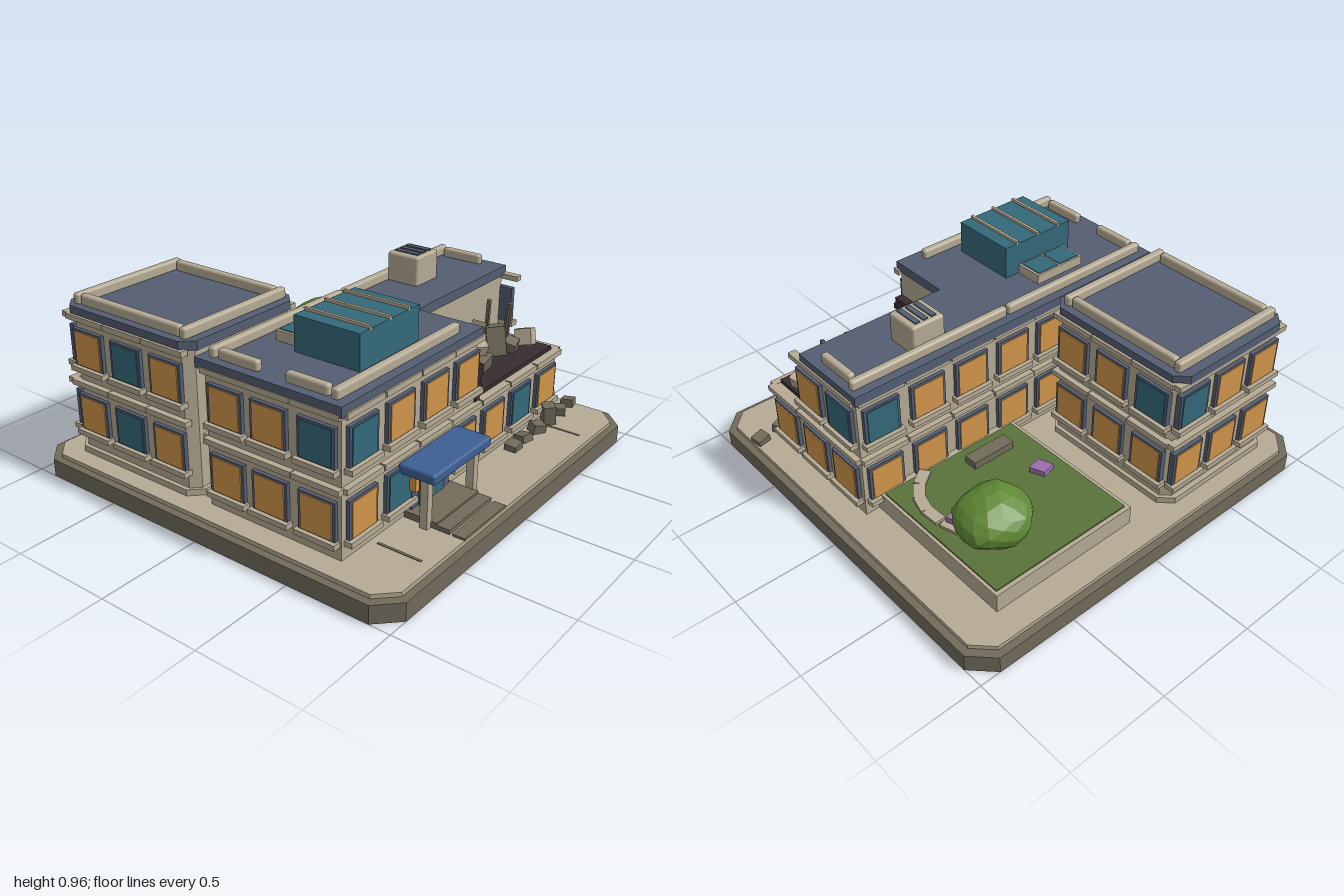
import * as THREE from 'three';
import { RoundedBoxGeometry } from 'three/addons/geometries/RoundedBoxGeometry.js';

const material = (name, color) => {
  const m = new THREE.MeshStandardMaterial({ color });
  m.name = name;
  return m;
};

export function createModel() {
  const model = new THREE.Group();
  model.name = 'damagedBuilding';
  const wall = material('wallStone', 0xb5aa94), stone = material('darkStone', 0x716b5b);
  const slate = material('slate', 0x535e71), amber = material('amberGlass', 0xd0954a);
  const teal = material('tealGlass', 0x34697a), blue = material('canopyBlue', 0x3d5f95);
  const dark = material('charredDark', 0x372c2e), grass = material('grass', 0x5a713a);
  const leaf = material('foliage', 0x618a37), purple = material('flowerPurple', 0x9c6fae);

  const add = (name, geometry, mat, parent = model) => {
    const mesh = new THREE.Mesh(geometry, mat);
    mesh.name = name;
    parent.add(mesh);
    return mesh;
  };
  // Box given by its limits on each axis
  const box = (name, mat, x0, x1, y0, y1, z0, z1, parent = model) => {
    const mesh = add(name, new THREE.BoxGeometry(x1 - x0, y1 - y0, z1 - z0), mat, parent);
    mesh.position.set((x0 + x1) / 2, (y0 + y1) / 2, (z0 + z1) / 2);
    return mesh;
  };
  const softBox = (name, mat, x0, x1, y0, y1, z0, z1) => {
    const mesh = add(name, new RoundedBoxGeometry(x1 - x0, y1 - y0, z1 - z0, 2, 0.012), mat);
    mesh.position.set((x0 + x1) / 2, (y0 + y1) / 2, (z0 + z1) / 2);
    return mesh;
  };
  // Flat slab extruded upward from an outline of [x, z] points
  const slab = (name, mat, points, y0, y1) => {
    const shape = new THREE.Shape(points.map(([x, z]) => new THREE.Vector2(x, z)));
    const g = new THREE.ExtrudeGeometry(shape, { depth: y1 - y0, bevelEnabled: false });
    g.rotateX(Math.PI / 2).translate(0, y1, 0);
    return add(name, g, mat);
  };
  const cutRect = (x0, x1, z0, z1, c) => [
    [x0 + c, z0], [x1 - c, z0], [x1, z0 + c], [x1, z1 - c],
    [x1 - c, z1], [x0 + c, z1], [x0, z1 - c], [x0, z0 + c]];

  // Ground
  slab('base', stone, cutRect(-1, 1, -1, 1, 0.1), 0, 0.085);
  slab('pavement', wall, cutRect(-0.965, 0.965, -0.965, 0.965, 0.085), 0.085, 0.105);
  for (const x of [-0.67, 0.66]) box('pavementCrack', stone, x - 0.006, x + 0.006, 0.1, 0.108, 0.7, 0.91);

  // Main block, with the front corner of the upper floor missing
  const ell = (x0, x1, z0, z1, nx, nz) => [[x0, z0], [x1, z0], [x1, nz], [nx, nz], [nx, z1], [x0, z1]];
  box('lowerWalls', wall, -0.86, 0.84, 0.105, 0.43, -0.03, 0.665);
  slab('upperWalls', wall, ell(-0.86, 0.84, -0.03, 0.665, 0.085, 0.34), 0.43, 0.74);
  slab('mainRoof', slate, ell(-0.885, 0.86, -0.06, 0.685, 0.095, 0.35), 0.738, 0.785);

  // Rear wing
  slab('wingPlinth', wall, cutRect(-0.88, -0.18, -0.88, -0.1, 0.06), 0.105, 0.135);
  slab('wingWalls', wall, cutRect(-0.86, -0.2, -0.855, -0.12, 0.04), 0.135, 0.78);
  slab('wingRoof', slate, cutRect(-0.875, -0.185, -0.885, -0.105, 0.055), 0.778, 0.82);

  // Window row on one facade: letters a = amber, t = teal, - = none
  function facade(name, px, pz, turn, centres, row, y) {
    const group = new THREE.Group();
    group.name = name;
    group.position.set(px, y, pz);
    group.rotation.y = turn;
    model.add(group);
    centres.forEach((u, i) => {
      box('band', wall, u - 0.118, u + 0.118, 0.13, 0.156, -0.01, 0.028, group);
      if (row[i] === '-') return;
      box('windowFrame', slate, u - 0.092, u + 0.092, -0.088, 0.09, -0.01, 0.018, group);
      box('windowPane', row[i] === 'a' ? amber : teal, u - 0.078, u + 0.078, -0.08, 0.08, 0.017, 0.023, group);
      box('sill', wall, u - 0.103, u + 0.103, -0.11, -0.085, -0.01, 0.038, group);
    });
  }
  const H = Math.PI / 2, low = 0.275, high = 0.593;
  const bays = [-0.74, -0.495, -0.25, -0.01, 0.235, 0.48, 0.725];
  const backBays = bays.map(x => -x);
  facade('frontLower', 0, 0.665, 0, bays, 'at-aata', low);
  facade('frontUpper', 0, 0.665, 0, bays.slice(0, 4), 'taaa', high);
  facade('leftLower', 0.84, 0, H, [-0.555, -0.315, -0.085], 'aaa', low);
  facade('leftUpper', 0.84, 0, H, [-0.23, -0.085].map((u, i) => i ? u : -0.315), 'at', high);
  facade('rightLower', -0.86, 0, -H, [0.085, 0.315, 0.555], 'aaa', low);
  facade('rightUpper', -0.86, 0, -H, [0.085, 0.315, 0.555], 'aat', high);
  facade('backLower', 0, -0.03, Math.PI, backBays, '--aaaaa', low);
  facade('backUpper', 0, -0.03, Math.PI, backBays, '--aaaat', high);
  const wingZ = [0.25, 0.49, 0.73], wingX = [0.3, 0.53, 0.76];
  for (const [y, rows] of [[0.31, ['aaa', 'aaa', 'ata']], [0.628, ['aat', 'taa', 'ata']]]) {
    facade('wingLeft', -0.2, 0, H, wingZ, rows[0], y);
    facade('wingBack', 0, -0.855, Math.PI, wingX, rows[1], y);
    facade('wingRight', -0.86, 0, -H, wingZ.map(z => -z), rows[2], y);
  }

  // Parapets
  for (const [x0, x1, z0, z1] of [
    [-0.85, -0.01, -0.018, 0.018], [0, 0.84, -0.018, 0.018], [-0.85, -0.02, 0.605, 0.642],
    [-0.845, -0.808, 0.03, 0.24], [-0.845, -0.808, 0.38, 0.59], [0.785, 0.822, 0.03, 0.24]])
    softBox('mainParapet', wall, x0, x1, 0.78, 0.83, z0, z1);
  for (const [x0, x1, z0, z1] of [
    [-0.845, -0.215, -0.84, -0.803], [-0.845, -0.215, -0.185, -0.148],
    [-0.838, -0.8, -0.8, -0.19], [-0.262, -0.224, -0.8, -0.19]])
    softBox('wingParapet', wall, x0, x1, 0.815, 0.868, z0, z1);

  // Rooftop glasshouse, low skylight and vent
  box('glasshouse', teal, -0.6, -0.2, 0.78, 0.945, 0.222, 0.552);
  for (const x of [-0.53, -0.4, -0.27]) box('glazingBar', wall, x - 0.007, x + 0.007, 0.94, 0.958, 0.222, 0.552);
  box('skylightFrame', wall, -0.555, -0.278, 0.78, 0.832, 0.085, 0.218);
  for (const x of [-0.482, -0.351]) box('skylightPane', teal, x - 0.06, x + 0.06, 0.828, 0.836, 0.094, 0.21);
  softBox('ventHousing', wall, 0.33, 0.502, 0.78, 0.925, 0.012, 0.182);
  for (const x of [0.373, 0.416, 0.459]) box('ventSlot', slate, x - 0.013, x + 0.013, 0.922, 0.931, 0.033, 0.162);

  // Entrance
  softBox('canopy', blue, -0.5, -0.065, 0.335, 0.382, 0.67, 0.848);
  box('doorFrame', slate, -0.42, -0.14, 0.11, 0.335, 0.66, 0.69);
  box('door', teal, -0.373, -0.188, 0.125, 0.322, 0.688, 0.697);
  for (const s of [-1, 1]) {
    const x = -0.281 + s * 0.175;
    box('canopyPost', wall, x - 0.018, x + 0.018, 0.1, 0.337, 0.765, 0.802);
    box('lantern', amber, -0.281 + s * 0.145 - 0.014, -0.281 + s * 0.145 + 0.014, 0.235, 0.3, 0.69, 0.72);
  }
  [[0.67, 0.83, 0.135], [0.83, 0.893, 0.126], [0.907, 0.965, 0.115]].forEach(([z0, z1, y]) =>
    box('entranceStep', stone, -0.445, -0.12, 0.1, y, z0, z1));

  // Exposed floor and broken wall edge
  box('charredFloor', dark, 0.13, 0.81, 0.425, 0.45, 0.355, 0.652);
  for (let i = 0; i < 6; i++)
    box('brokenWallEdge', dark, 0.08, 0.115 + 0.022 * ((i * 2) % 3) / 2, 0.43 + i * 0.028, 0.458 + i * 0.028, 0.6 - 0.015 * (i % 2), 0.672);
  for (let i = 0; i < 5; i++)
    box('brokenWallSide', dark, 0.08, 0.108 + 0.014 * (i % 2), 0.43, 0.56 - 0.02 * (i % 3), 0.37 + i * 0.05, 0.41 + i * 0.05);

  // Debris: x, y, z, width, height, depth, lean, spin
  const debris = (name, mat, [x, y, z, w, h, d, lean, spin]) => {
    const m = add(name, new THREE.BoxGeometry(w, h, d), mat);
    m.position.set(x, y, z);
    m.rotation.set(lean * 0.8, spin, lean);
  };
  for (const d of [
    [0.19, 0.52, 0.44, 0.07, 0.16, 0.06, -0.12, 0.4], [0.25, 0.53, 0.48, 0.11, 0.17, 0.1, -0.1, 0.6],
    [0.37, 0.48, 0.53, 0.09, 0.07, 0.06, 0.2, 0.1], [0.52, 0.52, 0.4, 0.08, 0.15, 0.07, 0.2, 0.3],
    [0.58, 0.51, 0.47, 0.1, 0.14, 0.09, -0.15, 0.7], [0.63, 0.48, 0.53, 0.06, 0.07, 0.06, 0.3, 0.2]])
    debris('darkRubble', stone, d);
  for (const d of [
    [0.34, 0.54, 0.42, 0.08, 0.16, 0.07, -0.15, 0.5], [0.38, 0.52, 0.48, 0.09, 0.13, 0.08, 0.2, 0.9],
    [0.28, 0.49, 0.4, 0.09, 0.09, 0.05, 0.3, 0.3], [0.44, 0.51, 0.4, 0.05, 0.12, 0.05, 0.25, 0.4],
    [0.75, 0.49, 0.54, 0.1, 0.08, 0.08, -0.25, 0.3], [0.2, 0.48, 0.54, 0.05, 0.06, 0.05, 0.2, 0.6]])
    debris('paleRubble', wall, d);
  for (const d of [
    [0.585, 0.58, 0.42, 0.016, 0.27, 0.016, 0.17, 0], [0.68, 0.565, 0.48, 0.016, 0.24, 0.016, 0.22, 0],
    [0.715, 0.55, 0.45, 0.014, 0.2, 0.014, 0.3, 0]])
    debris('bentBeam', stone, d);
  [[0.35, 0.73, 0.04], [0.46, 0.72, 0.035], [0.575, 0.73, 0.05], [0.692, 0.725, 0.1], [0.81, 0.72, 0.045], [0.93, 0.71, 0.04]]
    .forEach(([x, z, h], i) => debris('fallenStone', stone, [x, 0.1 + h / 2, z, 0.066, h, 0.06, (i % 2 ? -0.12 : 0.12), i * 1.3]));

  // Raised garden
  box('gardenCurb', wall, 0, 0.77, 0.1, 0.197, -0.83, -0.03);
  box('lawn', grass, 0.02, 0.755, 0.195, 0.204, -0.81, -0.065);
  box('bench', stone, 0.13, 0.358, 0.2, 0.24, -0.205, -0.135);
  const path = new THREE.QuadraticBezierCurve3(
    new THREE.Vector3(0.655, 0.207, -0.45), new THREE.Vector3(0.75, 0.207, -0.2), new THREE.Vector3(0.55, 0.207, -0.08));
  for (let i = 0; i < 5; i++) {
    const t = (i + 0.3) / 4.6, p = path.getPoint(t), d = path.getTangent(t);
    const m = add('pathStone', new THREE.BoxGeometry(0.055, 0.02, 0.09), wall);
    m.position.copy(p);
    m.rotation.y = Math.atan2(d.x, d.z);
  }
  for (const x of [0.148, 0.388, 0.625]) {
    const m = add('flowerBed', new THREE.BoxGeometry(0.08, 0.025, 0.08), purple);
    m.position.set(x, 0.232, -0.415);
    m.rotation.set(0.08, 0.3, 0.08);
    box('flowerStem', leaf, x - 0.012, x + 0.012, 0.2, 0.225, -0.427, -0.403);
  }

  // Tree with an uneven faceted crown
  const trunk = add('treeTrunk', new THREE.CylinderGeometry(0.022, 0.035, 0.12, 7), stone);
  trunk.position.set(0.59, 0.25, -0.59);
  const crown = new THREE.IcosahedronGeometry(1, 2), pos = crown.attributes.position, v = new THREE.Vector3();
  for (let i = 0; i < pos.count; i++) {
    v.fromBufferAttribute(pos, i);
    const r = 0.98 + 0.06 * Math.sin(5 * v.x + 2 * v.y) * Math.cos(4 * v.z - v.x);
    pos.setXYZ(i, v.x * r * 0.178, v.y * r * 0.122, v.z * r * 0.165);
  }
  crown.computeVertexNormals();
  add('treeCrown', crown, leaf).position.set(0.588, 0.35, -0.592);

  return model;
}
